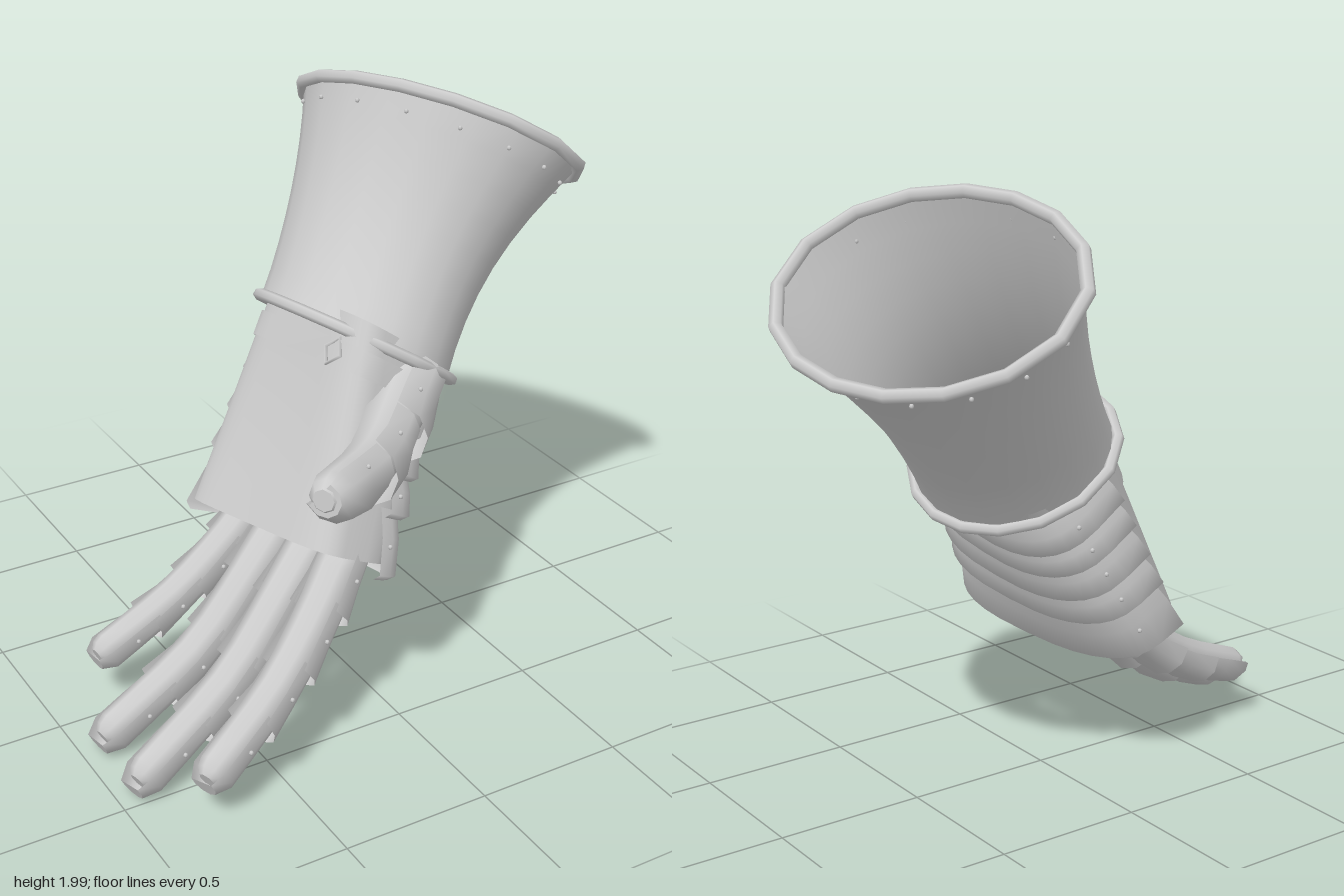
import * as THREE from 'three';

const V = (x, y, z) => new THREE.Vector3(x, y, z);
const steel = new THREE.MeshStandardMaterial({ color: 0xcccccc, side: THREE.DoubleSide });
steel.name = 'steel';

// Skin a list of cross-sections; closed sections wrap round, cap fills the last one with a sharp edge
function loft(rings, closed, cap = false) {
  const n = rings[0].length, pos = [], idx = [];
  const all = cap ? [...rings, rings[rings.length - 1]] : rings;
  all.forEach(r => r.forEach(p => pos.push(p.x, p.y, p.z)));
  for (let i = 0; i < rings.length - 1; i++) {
    for (let j = 0; j < (closed ? n : n - 1); j++) {
      const a = i * n + j, b = i * n + (j + 1) % n;
      idx.push(a, b, a + n, b, b + n, a + n);
    }
  }
  if (cap) {
    const base = rings.length * n;
    for (let j = 1; j < n - 1; j++) idx.push(base, base + j, base + j + 1);
  }
  const g = new THREE.BufferGeometry();
  g.setAttribute('position', new THREE.Float32BufferAttribute(pos, 3));
  g.setIndex(idx);
  g.computeVertexNormals();
  return g;
}

function add(parent, name, geometry) {
  const m = new THREE.Mesh(geometry, steel);
  m.name = name;
  parent.add(m);
  return m;
}

function group(parent, name) {
  const g = new THREE.Group();
  g.name = name;
  parent.add(g);
  return g;
}

// Point on the flared cuff: t runs from wrist (0) to mouth (1)
function cuffPoint(t, a, scale = 1) {
  const f = t ** 1.7;
  const k = scale * (1 - 0.045 * Math.sin(Math.PI * t));
  const c = V(0.145, 1.13, -0.05).lerp(V(0.565, 1.73, -0.215), t);
  c.z -= 0.03 * Math.sin(Math.PI * t);
  const u = V(0.255, -0.165, 0.05).lerp(V(0.35, -0.193, 0.15), f);
  const v = V(0, 0.06, 0.365).lerp(V(0, 0.145, 0.475), f);
  return c.addScaledVector(u, k * Math.cos(a)).addScaledVector(v, k * Math.sin(a));
}

// Point on the hand: s runs from wrist (0) to knuckles (1); sin(a) > 0 is the back of the hand
function handPoint(s, a, scale = 1) {
  const c = V(0.14, 1.12, -0.05).lerp(V(-0.175, 0.55, 0.09), s);
  const w = V(0, 0.06, 0.34).lerp(V(0.07, 0.045, 0.36), s);
  const n = V(0.18, -0.13, 0).lerp(V(0.16, -0.075, 0), s);
  const ca = Math.cos(a), sa = Math.sin(a), e = sa < 0 ? 0.42 : 0.75;
  return c.addScaledVector(w, scale * Math.sign(ca) * Math.abs(ca) ** e)
    .addScaledVector(n, scale * Math.sign(sa) * Math.abs(sa) ** e);
}

const arc = (n, from, to, fn) =>
  Array.from({ length: n }, (_, i) => fn(from + (to - from) * i / (n - 1)));
const loop = (n, fn) => Array.from({ length: n }, (_, i) => fn(i / n * Math.PI * 2));

function rivet(parent, p) {
  add(parent, 'rivet', new THREE.SphereGeometry(0.008, 6, 4)).position.copy(p);
}

// A finger: round inner glove with overlapping keeled plates on its outer side
function finger(parent, name, points, normal, r0, r1, count, flare) {
  const g = group(parent, name);
  const path = new THREE.CatmullRomCurve3(points);
  const frame = t => {
    const tt = Math.min(t, 1), c = path.getPointAt(tt), d = path.getTangentAt(tt);
    if (t > 1) c.addScaledVector(d, (t - 1) * path.getLength());
    const n = normal.clone().addScaledVector(d, -normal.dot(d)).normalize();
    return { c, d, n, b: d.clone().cross(n), r: r0 + (r1 - r0) * tt };
  };
  const at = (f, a, k, keel = 0) => f.c.clone()
    .addScaledVector(f.b, f.r * k * Math.cos(a))
    .addScaledVector(f.n, f.r * (k * Math.sin(a) + keel));
  const rings = arc(9, 0, 1, t => loop(8, a => at(frame(t), a, 1)));
  [[0.5, 0.85], [0.85, 0.5]].forEach(([out, k]) => {
    const f = frame(1);
    f.c.addScaledVector(f.d, f.r * out);
    rings.push(loop(8, a => at(f, a, k)));
  });
  add(g, 'innerFinger', loft(rings, true, true));

  for (let i = 0; i < count; i++) {
    const t0 = i / count, t1 = (i + 1.15) / count;
    const section = (t, k, keel) => arc(7, -0.35, Math.PI + 0.35, a =>
      at(frame(t), a, k, Math.abs(a - Math.PI / 2) < 0.01 ? keel : 0));
    const last = i === count - 1;
    const plate = [section(t0, 1.08, 0), section((t0 + t1) / 2, 1.2, 0.18),
      section(last ? 1.02 : t1, last ? 1.27 : flare, 0.05)];
    if (last) plate.push(section(1.08, 0.8, 0));
    add(g, 'fingerPlate', loft(plate, false, last));
    rivet(g, at(frame((t0 + t1) / 2), 0.1, 1.2));
  }
}

export function createModel() {
  const model = new THREE.Group();
  model.name = 'gauntlet';

  // Flared cuff with rolled rims and rivets
  const cuff = group(model, 'cuff');
  add(cuff, 'cuffShell', loft(arc(9, 0, 1, t => loop(20, a => cuffPoint(t, a))), true));
  const rim = (name, t, scale, r) => add(cuff, name, new THREE.TubeGeometry(
    new THREE.CatmullRomCurve3(loop(16, a => cuffPoint(t, a, scale)), true), 16, r, 6, true));
  rim('mouthRim', 1, 1.02, 0.023);
  rim('wristRim', 0, 1.04, 0.02);
  loop(16, a => rivet(cuff, cuffPoint(0.91, a, 1.01)));

  // Hand body with a flat palm, reaching a little way into the cuff
  const hand = group(model, 'hand');
  add(hand, 'palm', loft(arc(6, -0.08, 1, s => loop(32, a => handPoint(s, a, 1))), true, true));

  // Overlapping plates across the back of the hand, wrapping round its outer edge
  const edges = [-0.02, 0.15, 0.32, 0.52, 0.72, 1.03];
  for (let i = 0; i < 5; i++) {
    const s0 = edges[i], s1 = edges[i + 1] + 0.04;
    const section = (s, k) => arc(18, 0.03, Math.PI + 0.18, a => handPoint(s, a, k));
    add(hand, 'handPlate', loft([section(s0, 1.01), section(s0 + (s1 - s0) * 0.4, 1.1),
      section(s1 - 0.03, 1.15), section(s1, 1.08)], false));
    [0.15, Math.PI - 0.15].forEach(a => rivet(hand, handPoint((s0 + s1) / 2, a, 1.12)));
  }

  // Wrist strap and buckle on the palm side
  const strap = s => arc(15, Math.PI - 0.1, Math.PI * 2 + 0.1, a => handPoint(s, a, 1.03));
  add(hand, 'wristStrap', loft([strap(0.05), strap(0.17)], false));
  const buckle = add(hand, 'buckle', new THREE.TorusGeometry(0.045, 0.008, 4, 4));
  buckle.position.copy(handPoint(0.11, Math.PI * 1.6, 1.05));
  buckle.lookAt(buckle.position.clone().add(V(-0.8, 0.55, 0)));

  // Four fingers
  const out = V(0.5, -0.85, 0);
  finger(model, 'littleFinger',
    [V(-0.14, 0.58, -0.16), V(-0.3, 0.45, -0.13), V(-0.52, 0.31, -0.1), V(-0.785, 0.205, -0.065)], out, 0.07, 0.055, 4, 1.47);
  finger(model, 'ringFinger',
    [V(-0.14, 0.59, 0.02), V(-0.3, 0.46, 0.08), V(-0.55, 0.25, 0.14), V(-0.89, 0.085, 0.195)], out, 0.078, 0.058, 4, 1.47);
  finger(model, 'middleFinger',
    [V(-0.12, 0.6, 0.19), V(-0.3, 0.46, 0.27), V(-0.55, 0.25, 0.355), V(-0.89, 0.08, 0.445)], out, 0.078, 0.058, 4, 1.47);
  finger(model, 'indexFinger',
    [V(-0.11, 0.62, 0.35), V(-0.27, 0.47, 0.44), V(-0.48, 0.305, 0.54), V(-0.755, 0.17, 0.65)], out, 0.078, 0.058, 4, 1.47);

  // Thumb
  finger(model, 'thumb',
    [V(0.19, 1.1, 0.24), V(0.04, 1.03, 0.36), V(-0.14, 0.995, 0.52), V(-0.35, 1.015, 0.655)],
    V(0.5, -0.6, 0.55), 0.105, 0.072, 3, 1.45);

  return model;
}
